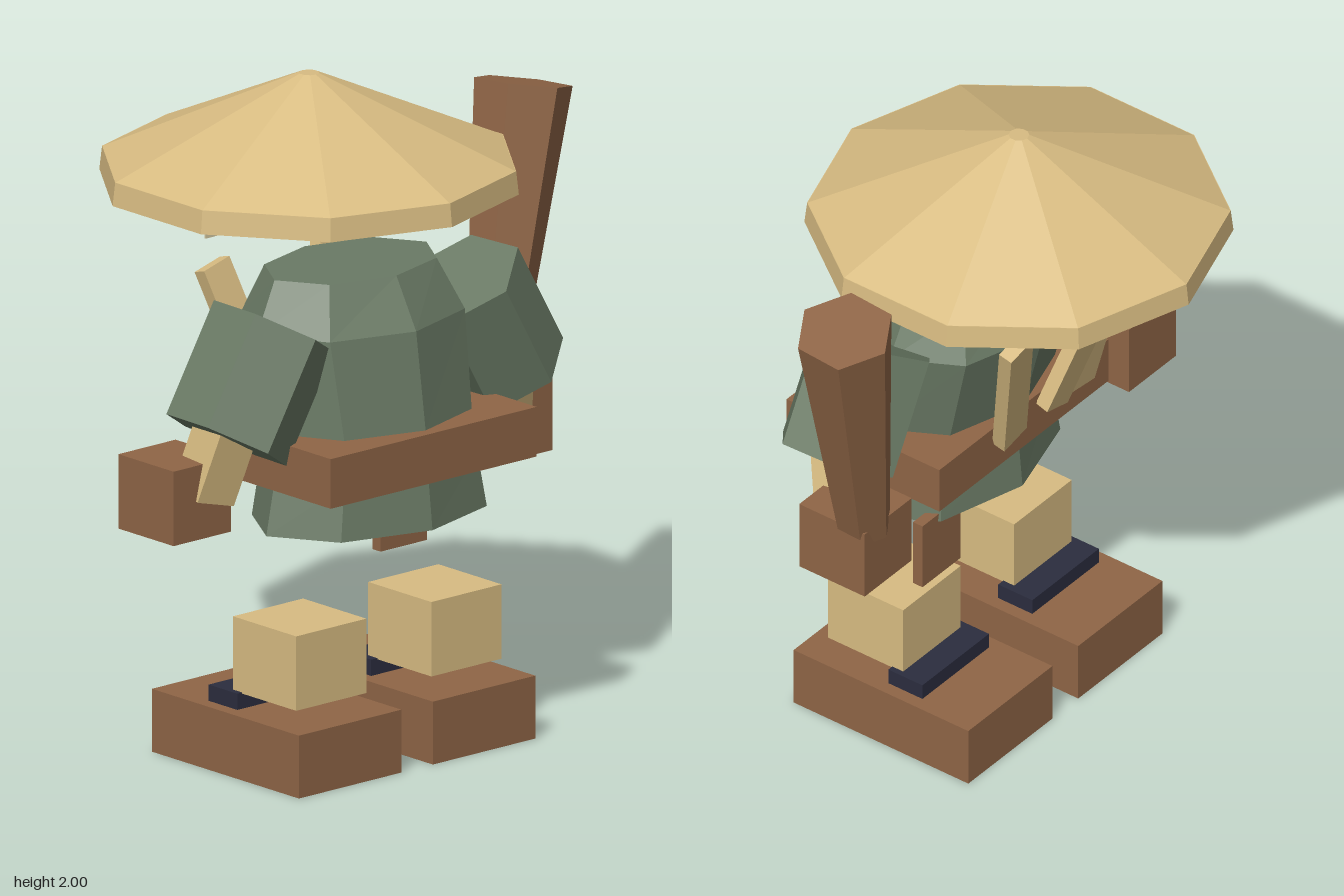
import * as THREE from 'three';

const mat = (name, color) => {
  const m = new THREE.MeshStandardMaterial({ color });
  m.name = name;
  return m;
};

export function createModel() {
  const straw = mat('straw', 0xd8bc82);
  const wood = mat('wood', 0x8f6546);
  const cloth = mat('green cloth', 0x6a7a65);
  const navy = mat('navy', 0x2b2d3e);
  const paper = mat('pale face', 0xd6caa2);

  const model = new THREE.Group();
  model.name = 'strawHatFigure';
  // the figure stands a little to one side of its club
  const body = new THREE.Group();
  body.name = 'body';
  body.position.x = -0.12;
  model.add(body);

  const flat = (geo) => {
    const g = geo.toNonIndexed();
    g.computeVertexNormals();
    return g;
  };
  const add = (name, geo, material, parent = body) => {
    const mesh = new THREE.Mesh(flat(geo), material);
    mesh.name = name;
    parent.add(mesh);
    return mesh;
  };
  const box = (name, w, h, d, x, y, z, material) => {
    const mesh = add(name, new THREE.BoxGeometry(w, h, d), material);
    mesh.position.set(x, y, z);
    return mesh;
  };
  // places a y-aligned part so that it runs from a to b
  const up = new THREE.Vector3(0, 1, 0);
  const span = (name, a, b, makeGeo, material) => {
    const p = new THREE.Vector3(...a), q = new THREE.Vector3(...b);
    const dir = q.clone().sub(p);
    const mesh = add(name, makeGeo(dir.length()), material);
    mesh.position.copy(p).add(q).multiplyScalar(0.5);
    mesh.quaternion.setFromUnitVectors(up, dir.normalize());
    return mesh;
  };

  // hat: shallow ten-sided cone with a short rim
  add('hatCone', new THREE.CylinderGeometry(0.03, 0.612, 0.26, 10), straw).position.y = 1.87;
  add('hatRim', new THREE.CylinderGeometry(0.614, 0.622, 0.07, 10), straw).position.y = 1.705;

  // face: thin plate with eyes and cheek marks showing on both sides
  box('face', 0.415, 0.19, 0.004, 0, 1.585, -0.22, paper);
  for (const s of [-1, 1]) {
    box('eye', 0.125, 0.018, 0.008, s * 0.118, 1.605, -0.22, navy).rotation.z = s > 0 ? 0.08 : -0.04;
    box('cheekMark', 0.026, 0.016, 0.008, s * 0.14, 1.555, -0.22, wood);
  }

  // robe: eight-sided rings, each [y, half width, half depth, centre z]
  const rings = [
    [1.47, 0.295, 0.2, 0.18],
    [1.32, 0.37, 0.278, 0.188],
    [1.03, 0.35, 0.262, 0.245],
    [0.9, 0.365, 0.258, 0.26],
    [0.735, 0.4, 0.275, 0.262],
  ];
  const robe = new THREE.CylinderGeometry(1, 1, 1, 8, rings.length - 1);
  const pos = robe.attributes.position;
  for (let i = 0; i < pos.count; i++) {
    const [y, rx, rz, cz] = rings[Math.round((0.5 - pos.getY(i)) * (rings.length - 1))];
    pos.setXYZ(i, pos.getX(i) * rx, y, cz + pos.getZ(i) * rz);
  }
  add('robe', robe, cloth);
  box('belt', 0.8, 0.15, 0.56, 0, 0.955, 0.262, wood);
  box('hangingTab', 0.18, 0.22, 0.035, 0.27, 0.65, 0.092, wood);

  // paired limbs
  for (const s of [-1, 1]) {
    span('sleeve', [s * 0.36, 1.36, 0.25], [s * 0.54, 1.05, 0.245],
      (l) => new THREE.CylinderGeometry(0.193, 0.193, l, 6), cloth);
    span('forearm', [s * 0.52, 1.14, 0.25], [s * 0.575, 0.88, 0.185],
      (l) => new THREE.BoxGeometry(0.14, l, 0.13), straw);
    box('fist', 0.222, 0.225, 0.24, s * 0.625, 0.878, 0.115, wood);
    box('leg', 0.272, 0.225, 0.275, s * 0.2625, 0.348, 0.253, straw);
    box('footStrap', 0.315, 0.05, 0.125, s * 0.26, 0.214, 0.093, navy);
    box('foot', 0.398, 0.19, 0.64, s * 0.26, 0.095, 0.15, wood);
  }

  // club held in the left fist
  span('club', [0.66, 0.95, 0.055], [0.85, 1.8, -0.02],
    (l) => new THREE.CylinderGeometry(0.147, 0.08, l, 6), wood);

  // slats tucked behind the belt
  const slats = [
    [[0.09, 0.98, -0.035], [0.225, 1.44, -0.165]],
    [[-0.11, 0.98, -0.035], [-0.23, 1.43, -0.165]],
    [[-0.24, 0.98, -0.03], [-0.27, 1.24, -0.085]],
  ];
  for (const [a, b] of slats) {
    span('backSlat', a, b, (l) => new THREE.BoxGeometry(0.105, l, 0.045), straw);
  }

  return model;
}
